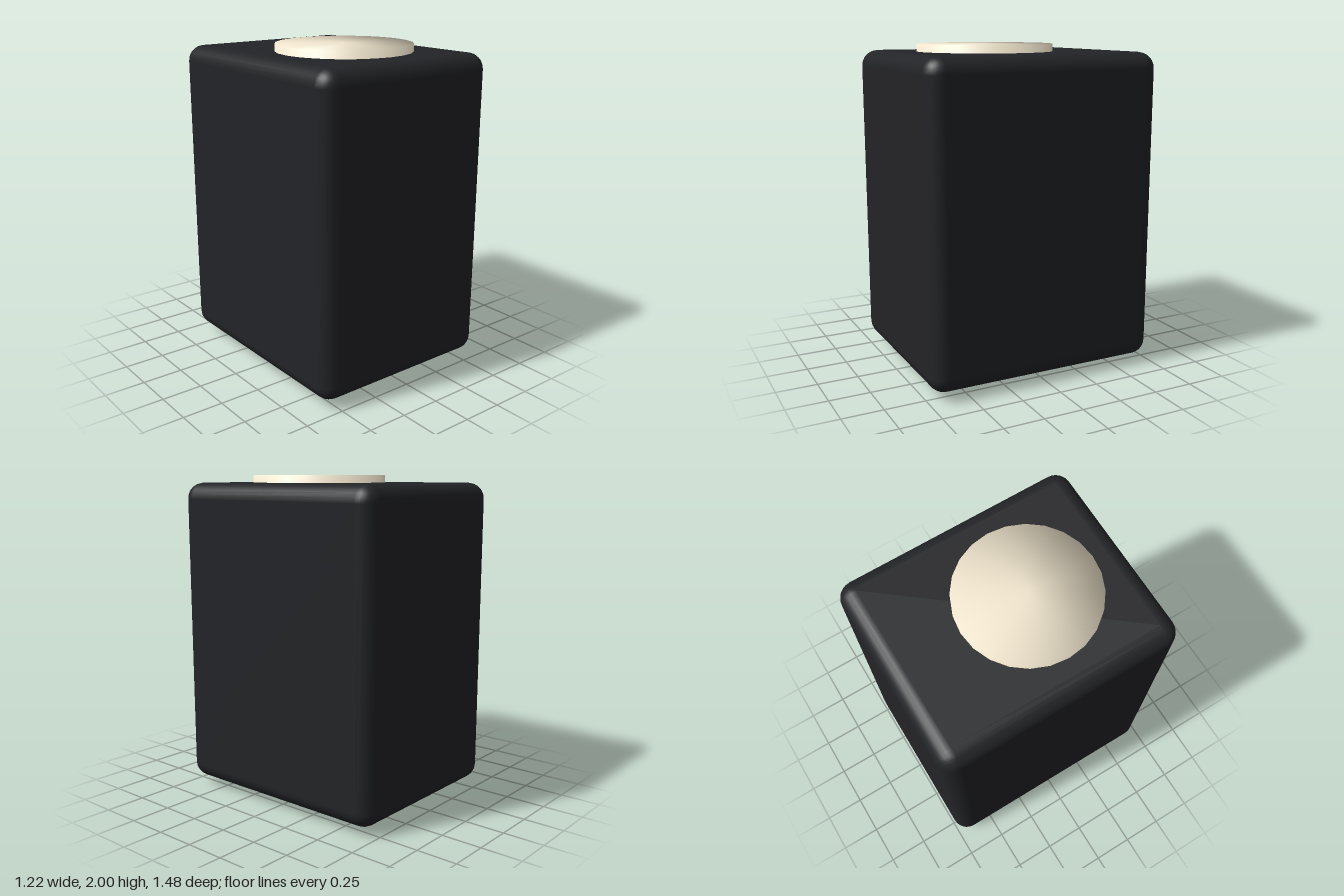
import * as THREE from 'three';
import { RoundedBoxGeometry } from 'three/addons/geometries/RoundedBoxGeometry.js';
import { mergeVertices } from 'three/addons/utils/BufferGeometryUtils.js';

const WIDTH = 1.22, HEIGHT = 1.91, DEPTH = 1.48;

function addMesh(parent, name, geometry, material, x, y, z) {
  const mesh = new THREE.Mesh(geometry, material);
  mesh.name = name;
  mesh.position.set(x, y, z);
  parent.add(mesh);
  return mesh;
}

// Cylinder whose shading runs smoothly over the rim into the caps
function softCylinder(radius, height, sides) {
  let geo = new THREE.CylinderGeometry(radius, radius, height, sides);
  geo.deleteAttribute('normal');
  geo.deleteAttribute('uv');
  geo = mergeVertices(geo);
  geo.computeVertexNormals();
  const pos = geo.attributes.position, normal = geo.attributes.normal;
  const n = new THREE.Vector3();
  for (let i = 0; i < pos.count; i++) {
    n.set(pos.getX(i) / radius * 0.8, Math.sign(pos.getY(i)) * 0.6, pos.getZ(i) / radius * 0.8).normalize();
    normal.setXYZ(i, n.x, n.y, n.z);
  }
  return geo;
}

export function createModel() {
  const model = new THREE.Group();
  model.name = 'block';
  const dark = new THREE.MeshStandardMaterial({ color: 0x232427 });
  const cream = new THREE.MeshStandardMaterial({ color: 0xf0e5cd });

  // Upright box with softly rounded edges
  addMesh(model, 'body', new RoundedBoxGeometry(WIDTH, HEIGHT, DEPTH, 3, 0.1), dark, 0, 1, 0);

  // Core running through the body, showing at the top and bottom
  addMesh(model, 'core', softCylinder(0.415, 2, 24), cream, 0, 1, 0.13);

  // Square panels lying flush on both sides
  for (const side of [1, -1]) {
    const panel = addMesh(model, side > 0 ? 'leftPanel' : 'rightPanel',
      new THREE.PlaneGeometry(1.07, 1.07), dark, side * (WIDTH / 2 + 0.001), 1, 0);
    panel.rotation.y = side * Math.PI / 2;
  }
  return model;
}
